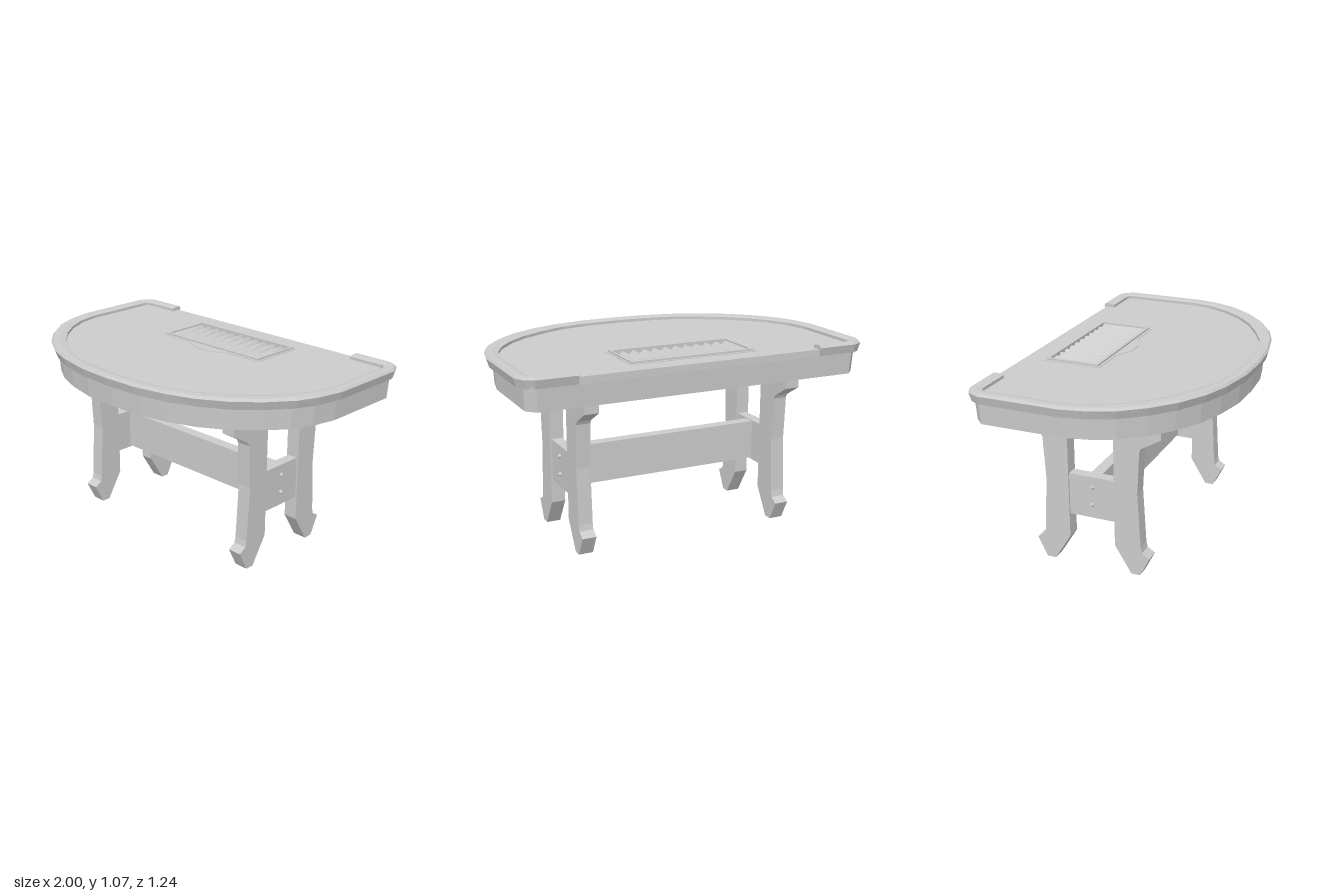
import * as THREE from 'three';

const mat = new THREE.MeshStandardMaterial({ color: 0xcccccc, flatShading: true });
const thin = new THREE.MeshStandardMaterial({ color: 0xcccccc, flatShading: true, side: THREE.DoubleSide });

// Half outlines [x, z], from the back corner round to the front middle
const RIM_OUT = [[0.695, -0.62], [0.92, -0.62], [0.97, -0.595], [1, -0.53], [1, -0.08], [0.97, 0.06], [0.92, 0.18],
  [0.82, 0.31], [0.7, 0.42], [0.55, 0.51], [0.4, 0.565], [0.2, 0.605], [0, 0.615]];
const RIM_IN = [[0.695, -0.553], [0.9, -0.553], [0.92, -0.545], [0.93, -0.53], [0.93, -0.1], [0.905, 0.02], [0.845, 0.14],
  [0.76, 0.25], [0.65, 0.35], [0.5, 0.44], [0.36, 0.505], [0.2, 0.535], [0, 0.545]];
const APRON = [[0.91, -0.6], [0.96, -0.55], [0.96, -0.09], [0.93, 0.05], [0.88, 0.165], [0.78, 0.29],
  [0.67, 0.39], [0.53, 0.475], [0.38, 0.53], [0.2, 0.57], [0, 0.58]];
const FELT_Y = 1.042;
const MID_Z = -0.0925; // centre line of the base

const mirrored = half => [...half, ...half.slice(0, -1).reverse().map(([x, z]) => [-x, z])];
const toShape = pts => new THREE.Shape(pts.map(([a, b]) => new THREE.Vector2(a, b)));
const rect = (x0, x1, z0, z1) => [[x0, z0], [x1, z0], [x1, z1], [x0, z1]];

function add(parent, name, geometry, x = 0, y = 0, z = 0, material = mat) {
  const mesh = new THREE.Mesh(geometry, material);
  mesh.name = name;
  mesh.position.set(x, y, z);
  parent.add(mesh);
  return mesh;
}

// Horizontal slab from a plan outline, with an optional hole
function slab(outline, top, thickness, hole) {
  const shape = toShape(outline);
  if (hole) shape.holes.push(toShape(hole));
  const g = new THREE.ExtrudeGeometry(shape, { depth: thickness, bevelEnabled: false });
  return g.rotateX(Math.PI / 2).translate(0, top, 0);
}

function fromTriangles(points) {
  const g = new THREE.BufferGeometry();
  g.setAttribute('position', new THREE.Float32BufferAttribute(points.flat(), 3));
  g.computeVertexNormals();
  return g;
}

// Bumper: one section swept round the table, open along the back
function rimGeometry() {
  const section = [[0.2, 1.005], [0, 1.052], [0.15, 1.065], [0.6, 1.065], [1, 1.058], [1, 1.005]];
  const outer = mirrored(RIM_OUT), inner = mirrored(RIM_IN);
  const rings = outer.map(([ox, oz], i) => section.map(([t, y]) =>
    [ox + (inner[i][0] - ox) * t, y, oz + (inner[i][1] - oz) * t]));
  const n = section.length, tris = [];
  for (let i = 0; i < rings.length - 1; i++) {
    for (let j = 0; j < n; j++) {
      const k = (j + 1) % n, a = rings[i], b = rings[i + 1];
      tris.push(a[j], a[k], b[k], a[j], b[k], b[j]);
    }
  }
  const first = rings[0], last = rings[rings.length - 1];
  for (let j = 1; j < n - 1; j++) {
    tris.push(first[0], first[j + 1], first[j]);
    tris.push(last[0], last[j], last[j + 1]);
  }
  return fromTriangles(tris);
}

// Corrugated tray floor whose valleys drift sideways towards the front
function troughGeometry(x0, x1, z0, z1, count) {
  const tris = [], pitch = (x1 - x0) / count, high = FELT_Y + 0.003, low = 1.01;
  const strip = (b0, f0, b1, f1) => tris.push(b0, f0, f1, b0, f1, b1);
  for (let i = 0; i < count; i++) {
    const l = x0 + i * pitch, r = l + pitch;
    const vb = l + pitch * 0.35, vf = l + pitch * 0.6;
    strip([l, high, z0], [l, high, z1], [vb, low, z0], [vf, low, z1]);
    strip([vb, low, z0], [vf, low, z1], [r, high, z0], [r, high, z1]);
  }
  return fromTriangles(tris);
}

function legGeometry(width, flip) {
  const profile = [[0.04, 0.89], [0.04, 0.155], [0.135, 0], [0.185, 0], [0.24, 0.11], [0.197, 0.137], [0.19, 0.17],
    [0.172, 0.48], [0.185, 0.725], [0.195, 0.745], [0.305, 0.81], [0.305, 0.89]];
  const pts = profile.map(([z, y]) => [flip ? 2 * MID_Z - z : z, y]);
  const g = new THREE.ExtrudeGeometry(toShape(pts), { depth: width, bevelEnabled: false });
  return g.rotateY(-Math.PI / 2).translate(width / 2, 0, 0);
}

function createTop() {
  const top = new THREE.Group();
  top.name = 'tableTop';

  // Playing surface with an opening for the tray
  const bed = RIM_OUT.map(([x, z], i) => [(x + RIM_IN[i][0]) / 2, (z + RIM_IN[i][1]) / 2]).slice(4);
  const outline = mirrored([[0.93, -0.605], [0.965, -0.57], ...bed]);
  const hole = rect(-0.345, 0.345, -0.465, -0.19);
  add(top, 'playingSurface', slab(outline, FELT_Y, FELT_Y - 1.004, hole));
  add(top, 'bumperRim', rimGeometry());

  // Apron, tapering slightly towards the bottom
  const apron = slab(mirrored(APRON), 1.006, 0.121);
  const p = apron.attributes.position;
  for (let i = 0; i < p.count; i++) {
    if (p.getY(i) < 0.95) p.setXYZ(i, p.getX(i) * 0.993, p.getY(i), p.getZ(i) * 0.99);
  }
  apron.computeVertexNormals();
  add(top, 'apron', apron);
  return top;
}

function createTray() {
  const tray = new THREE.Group();
  tray.name = 'chipTray';
  const hole = rect(-0.345, 0.345, -0.465, -0.19);
  // Thin flange with a bowed front lip
  const flange = [[-0.375, -0.495], [0.37, -0.495], [0.37, -0.158], [0.15, -0.158], [0.05, -0.108],
    [-0.055, -0.108], [-0.155, -0.158], [-0.375, -0.158]];
  add(tray, 'trayFlange', slab(flange, FELT_Y + 0.003, 0.01, hole));
  add(tray, 'trayFrame', slab(rect(-0.362, 0.358, -0.48, -0.173), FELT_Y + 0.012, 0.02, hole));
  add(tray, 'trayTroughs', troughGeometry(-0.345, 0.345, -0.465, -0.19, 11), 0, 0, 0, thin);
  return tray;
}

function createBase() {
  const base = new THREE.Group();
  base.name = 'base';
  for (const [side, x, out] of [['left', 0.585, 1], ['right', -0.607, -1]]) {
    add(base, side + 'FrontLeg', legGeometry(0.08, false), x);
    add(base, side + 'BackLeg', legGeometry(0.08, true), x);
    add(base, side + 'CrossPlate', new THREE.BoxGeometry(0.06, 0.24, 0.268), x, 0.41, MID_Z);
    // Bolts through the plate into the stretcher
    for (const y of [0.367, 0.47]) {
      const bolt = new THREE.CylinderGeometry(0.008, 0.013, 0.016, 7).rotateZ(-out * Math.PI / 2);
      add(base, side + 'Bolt', bolt, x + out * 0.037, y, MID_Z);
    }
  }
  add(base, 'stretcher', new THREE.BoxGeometry(1.15, 0.225, 0.065), -0.011, 0.4125, MID_Z);
  return base;
}

export function createModel() {
  const model = new THREE.Group();
  model.name = 'cardTable';
  model.add(createTop(), createTray(), createBase());
  return model;
}
